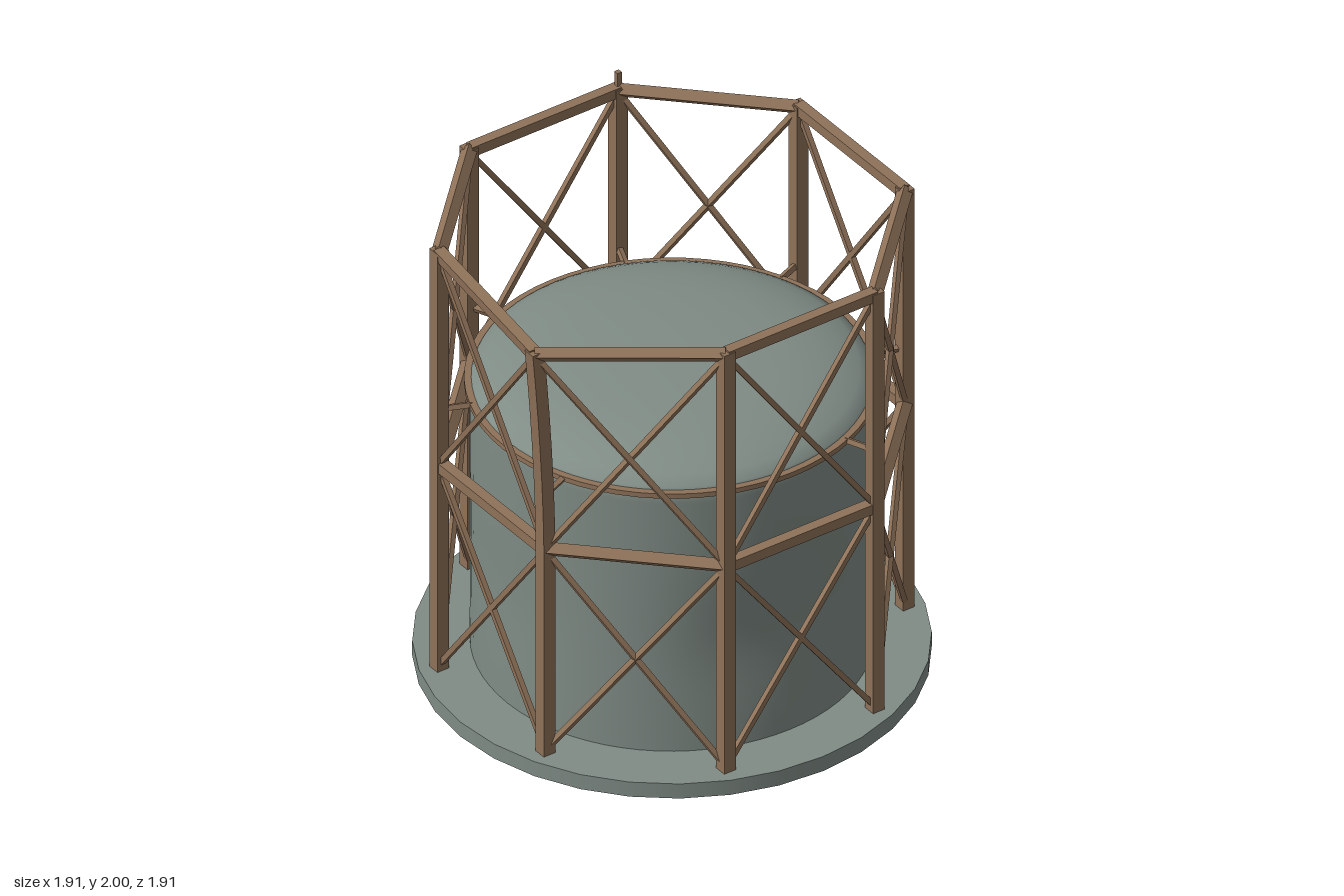
import * as THREE from 'three';
import { mergeVertices, toCreasedNormals } from 'three/addons/utils/BufferGeometryUtils.js';

const steel = new THREE.MeshStandardMaterial({ color: 0x808c86 });
steel.name = 'weatheredGreySteel';
const rust = new THREE.MeshStandardMaterial({ color: 0x8f7259 });
rust.name = 'rustyBrown';

const UP = new THREE.Vector3(0, 1, 0);
const BASE = 0.065, MID = 0.975, TOP = 1.92, FRAME_R = 0.88;
const BENT = 5; // index of the buckled post
const BUCKLE = new THREE.Vector3(-0.07, -0.03, 0.03);

function add(parent, name, geometry, material) {
  const mesh = new THREE.Mesh(geometry, material);
  mesh.name = name;
  parent.add(mesh);
  return mesh;
}

// Square bar between two points
function bar(parent, name, a, b, size) {
  const dir = b.clone().sub(a);
  const mesh = add(parent, name, new THREE.BoxGeometry(size, dir.length(), size), rust);
  mesh.position.copy(a).add(b).multiplyScalar(0.5);
  mesh.quaternion.setFromUnitVectors(UP, dir.normalize());
}

// Point on the octagon; the buckled post leans out above the middle ring
function node(i, y, r = FRAME_R) {
  const k = i % 8, a = Math.PI / 8 + k * Math.PI / 4;
  const p = new THREE.Vector3(Math.cos(a) * r, y, -Math.sin(a) * r);
  if (k === BENT - 1 && y > MID) {
    const t = (y - MID) / (TOP - MID);
    p.addScaledVector(BUCKLE, Math.pow(t, 1.6));
  }
  return p;
}

// Gas holder bell: lathe profile with shallow dents pushed into the wall
function tankGeometry() {
  const profile = [];
  for (let i = 0; i <= 24; i++) profile.push(new THREE.Vector2(0.745, 0.06 + i * 1.16 / 24));
  for (const [r, y] of [[0.735, 1.24], [0.69, 1.265], [0.63, 1.288], [0.54, 1.312],
    [0.42, 1.328], [0.28, 1.338], [0.14, 1.344], [0.001, 1.346]]) {
    profile.push(new THREE.Vector2(r, y));
  }
  let g = new THREE.LatheGeometry(profile, 72);
  g.deleteAttribute('uv');
  g.deleteAttribute('normal');
  g = mergeVertices(g, 1e-5);
  const dents = [[-0.15, 0.5, 0.03], [Math.PI - 0.15, 0.58, 0.03], [-Math.PI / 2, 0.5, 0.01]];
  const p = g.attributes.position;
  for (let i = 0; i < p.count; i++) {
    const x = p.getX(i), y = p.getY(i), z = p.getZ(i);
    if (y > 1.21) continue;
    const angle = Math.atan2(x, z);
    let r = Math.hypot(x, z);
    for (const [a, cy, depth] of dents) {
      const d = Math.atan2(Math.sin(angle - a), Math.cos(angle - a));
      r -= depth * Math.exp(-((d / 0.4) ** 2) - ((y - cy) / 0.27) ** 2);
    }
    p.setXYZ(i, Math.sin(angle) * r, y, Math.cos(angle) * r);
  }
  return toCreasedNormals(g, 0.7);
}

// Upright post, with its vertices following the node rule
function post(parent, i) {
  const h = TOP + 0.015 - 0.05;
  const g = new THREE.BoxGeometry(0.052, h, 0.052, 1, 12, 1);
  g.translate(0, 0.05 + h / 2, 0);
  const p = g.attributes.position;
  for (let v = 0; v < p.count; v++) {
    const n = node(i, p.getY(v));
    p.setXYZ(v, p.getX(v) + n.x, n.y, p.getZ(v) + n.z);
  }
  g.computeVertexNormals();
  add(parent, 'post', toCreasedNormals(g, 0.5), rust);
}

export function createModel() {
  const model = new THREE.Group();
  model.name = 'gasHolder';

  const base = add(model, 'basePlate', new THREE.CylinderGeometry(0.957, 0.957, BASE, 32), steel);
  base.position.y = BASE / 2;
  add(model, 'tank', tankGeometry(), steel);

  // Flat hoop around the shoulder of the tank
  const hoop = [[0.738, 1.21], [0.766, 1.21], [0.766, 1.231], [0.738, 1.231], [0.738, 1.21]]
    .map(([r, y]) => new THREE.Vector2(r, y));
  add(model, 'tankHoop', toCreasedNormals(new THREE.LatheGeometry(hoop, 64), 0.5), rust);

  // Guide frame: eight bays of posts, ring beams and crossed braces
  const frame = new THREE.Group();
  frame.name = 'guideFrame';
  model.add(frame);
  for (let i = 0; i < 8; i++) {
    post(frame, i);
    bar(frame, 'middleBeam', node(i, MID), node(i + 1, MID), 0.043);
    bar(frame, 'topBeam', node(i, TOP), node(i + 1, TOP), 0.043);
    for (const [low, high] of [[BASE + 0.01, MID - 0.01], [MID, TOP - 0.01]]) {
      bar(frame, 'brace', node(i, low), node(i + 1, high), 0.021);
      bar(frame, 'brace', node(i + 1, low), node(i, high), 0.021);
    }
    bar(frame, 'guideBracket', node(i, 1.221, 0.755), node(i, 1.221, 0.855), 0.02);
  }

  // Broken rod left standing on one back post
  const foot = node(1, TOP);
  bar(frame, 'brokenRod', foot, foot.clone().setY(2.0), 0.02);
  return model;
}
